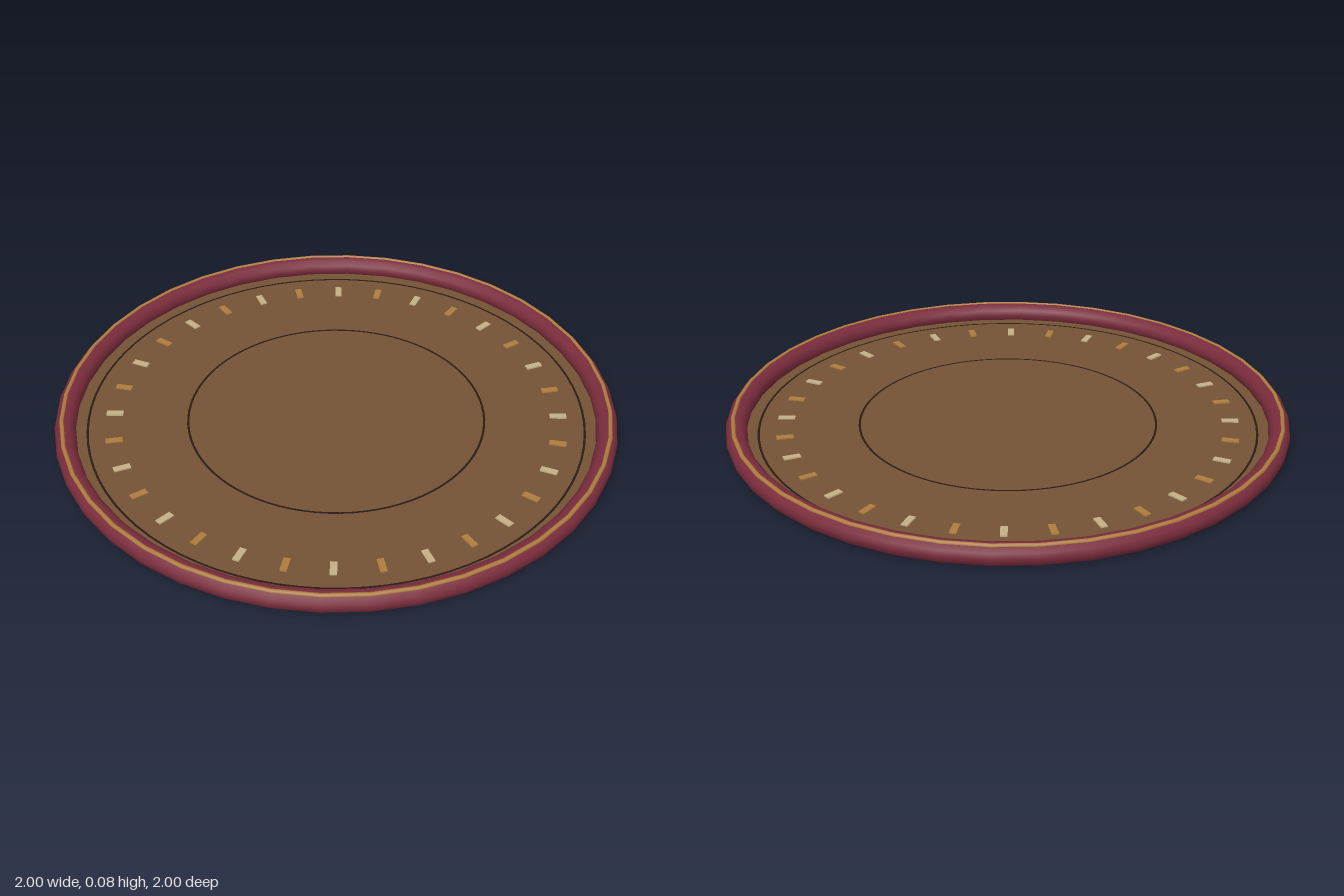
import * as THREE from 'three';

const material = (name, color) => {
  const m = new THREE.MeshStandardMaterial({ color });
  m.name = name;
  return m;
};

export function createModel() {
  const tray = new THREE.Group();
  tray.name = 'roundTray';

  const wood = material('brown wood', 0x755335);
  const lacquer = material('dark red lacquer', 0x7a2c3c);
  const gold = material('gold', 0xad7c3e);
  const cream = material('cream inlay', 0xc4ae88);
  const dark = material('dark groove', 0x2a1a14);

  const add = (name, geometry, mat, y, parent = tray) => {
    const mesh = new THREE.Mesh(geometry, mat);
    mesh.name = name;
    mesh.position.y = y;
    parent.add(mesh);
    return mesh;
  };
  const flatTorus = (radius, tube, sides, segments) =>
    new THREE.TorusGeometry(radius, tube, sides, segments).rotateX(-Math.PI / 2);

  // Flat base with its floor at 0.018
  const floorY = 0.018;
  add('floor', new THREE.CylinderGeometry(0.96, 0.96, floorY, 40), wood, floorY / 2);

  // Rounded rim and the thin band along its top
  add('rim', flatTorus(0.9625, 0.0375, 12, 40), lacquer, 0.04);
  add('rimBand', flatTorus(0.972, 0.008, 8, 40), gold, 0.073);

  // Two fine circles on the floor
  for (const [name, radius] of [['innerCircle', 0.53], ['outerCircle', 0.886]]) {
    const ring = new THREE.RingGeometry(radius - 0.004, radius + 0.004, 80).rotateX(-Math.PI / 2);
    add(name, ring, dark, floorY + 0.002);
  }

  // Radial inlays, alternating gold and cream
  const inlays = new THREE.Group();
  inlays.name = 'inlays';
  tray.add(inlays);
  const inlay = new THREE.BoxGeometry(0.024, 0.008, 0.06).translate(0, 0, 0.795);
  const count = 32;
  for (let i = 0; i < count; i++) {
    const mark = add('inlay', inlay, i % 2 ? cream : gold, floorY + 0.001, inlays);
    mark.rotation.y = (i / count) * Math.PI * 2;
  }

  return tray;
}
